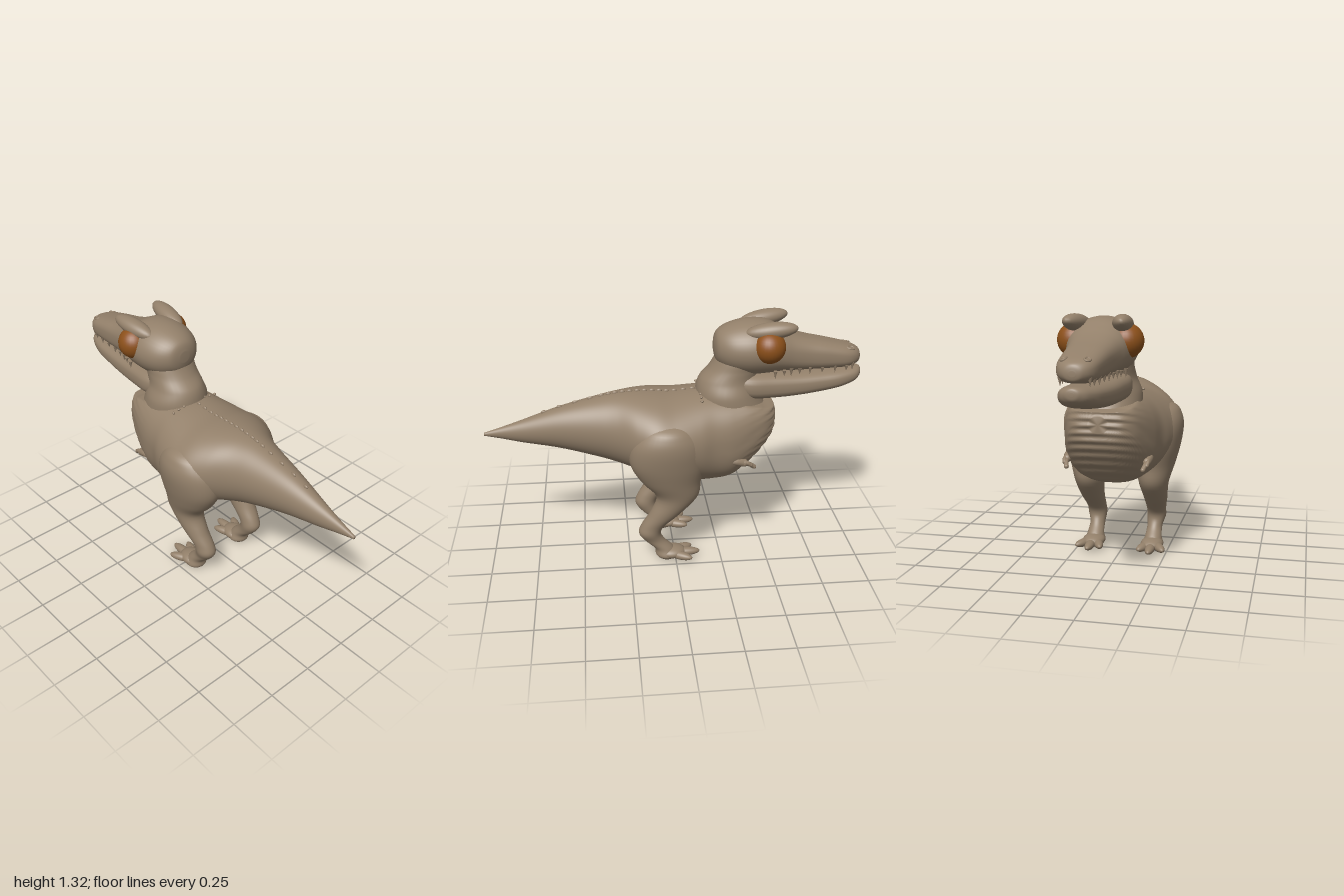
import * as THREE from 'three';

const skin = new THREE.MeshStandardMaterial({ color: 0x93806a });
skin.name = 'skin';
const amber = new THREE.MeshStandardMaterial({ color: 0x8c501a });
amber.name = 'amber';

// Cubic interpolation through cross-section rows, u in 0..1
function sample(rows, u) {
  const s = u * (rows.length - 1), i = Math.min(Math.floor(s), rows.length - 2), f = s - i;
  const row = (k) => rows[Math.max(0, Math.min(rows.length - 1, k))];
  const [a, b, c, d] = [row(i - 1), row(i), row(i + 1), row(i + 2)];
  return b.map((v, k) => v + 0.5 * f * (c[k] - a[k]
    + f * (2 * a[k] - 5 * v + 4 * c[k] - d[k] + f * (3 * (v - c[k]) + d[k] - a[k]))));
}

// Rows: [position on axis, centre x, centre of other axis, radius x, other radius, squareness]
function loft(rows, axis, rings = 48, sides = 32, bend = null) {
  const pos = [], idx = [];
  const put = (x, o, t) => {
    const v = axis === 'z' ? new THREE.Vector3(x, o, t) : new THREE.Vector3(x, t, o);
    if (bend) bend(v);
    pos.push(v.x, v.y, v.z);
  };
  for (let i = 0; i <= rings; i++) {
    const [t, cx, co, rx, ro, p] = sample(rows, i / rings);
    for (let j = 0; j < sides; j++) {
      const a = (j / sides) * Math.PI * 2, c = Math.cos(a), s = Math.sin(a);
      const pw = (v) => Math.sign(v) * Math.pow(Math.abs(v), 2 / p);
      put(cx + Math.max(rx, 0.001) * pw(c), co + Math.max(ro, 0.001) * pw(s), t);
    }
  }
  const first = rows[0], last = rows[rows.length - 1];
  put(first[1], first[2], first[0]);
  put(last[1], last[2], last[0]);
  const capA = (rings + 1) * sides, capB = capA + 1;
  const flip = (axis === 'z') !== (last[0] > first[0]);
  const tri = (a, b, c) => (flip ? idx.push(a, c, b) : idx.push(a, b, c));
  for (let j = 0; j < sides; j++) {
    const k = (j + 1) % sides;
    for (let i = 0; i < rings; i++) {
      const a = i * sides + j, b = i * sides + k;
      tri(a, b, a + sides);
      tri(b, b + sides, a + sides);
    }
    tri(capA, k, j);
    tri(capB, rings * sides + j, rings * sides + k);
  }
  const g = new THREE.BufferGeometry();
  g.setAttribute('position', new THREE.Float32BufferAttribute(pos, 3));
  g.setIndex(idx);
  g.computeVertexNormals();
  return g;
}

export function createModel() {
  const model = new THREE.Group();
  model.name = 'dinosaur';
  const add = (name, geo, mat = skin, parent = model) => {
    const m = new THREE.Mesh(geo, mat);
    m.name = name;
    parent.add(m);
    return m;
  };
  const ball = (name, p, r, parent, mat = skin) => {
    const m = add(name, new THREE.SphereGeometry(1, 28, 20), mat, parent);
    m.position.set(...p);
    m.scale.set(...r);
    return m;
  };

  // Tail, hips and torso in one run
  const body = [
    [1, 0, 0.72, 0.008, 0.008, 2], [0.9, 0, 0.725, 0.026, 0.034, 2],
    [0.8, 0, 0.73, 0.047, 0.062, 2], [0.6, 0, 0.745, 0.093, 0.115, 2],
    [0.4, 0, 0.743, 0.145, 0.168, 2], [0.3, 0, 0.737, 0.185, 0.193, 2],
    [0.2, 0, 0.725, 0.255, 0.212, 2], [0.1, 0, 0.705, 0.308, 0.23, 2],
    [0, 0, 0.688, 0.315, 0.242, 2], [-0.12, 0, 0.69, 0.283, 0.25, 2.1],
    [-0.2, 0, 0.692, 0.254, 0.25, 2.3], [-0.3, 0, 0.7, 0.235, 0.237, 2.5],
    [-0.4, 0, 0.738, 0.205, 0.195, 2.6], [-0.48, 0, 0.775, 0.168, 0.142, 2.6],
    [-0.525, 0, 0.795, 0.12, 0.092, 2.4], [-0.54, 0, 0.8, 0.05, 0.04, 2],
  ];
  // Wrinkled chest, cut off by a sloping collar plane
  add('body', loft(body, 'z', 120, 80, (v) => {
    const ramp = THREE.MathUtils.smoothstep(-v.z, 0.15, 0.42);
    if (v.z < -0.12) v.y = Math.min(v.y, 0.943 + (v.z + 0.12) * 0.2);
    v.z -= 0.0045 * ramp * Math.sin(v.y * 170 + v.z * 50);
  }));

  // Bumps along the spine and around the collar
  for (let i = 0; i < 17; i++) {
    const [z, , y, , r] = sample(body, 0.175 + (0.415 * i) / 16);
    ball('spineBump', [0, y + r, z], [0.008, 0.011, 0.015], model);
  }
  for (let i = -4; i <= 4; i++) {
    ball('collarBump', [i * 0.036, 0.94 - 0.001 * i * i, -0.14], [0.008, 0.007, 0.008], model);
  }

  add('neck', loft([
    [0.84, 0, -0.31, 0.17, 0.19, 2], [0.93, 0, -0.29, 0.165, 0.17, 2],
    [1.0, 0, -0.295, 0.14, 0.158, 2], [1.06, 0, -0.325, 0.132, 0.137, 2],
    [1.12, 0, -0.35, 0.13, 0.128, 2], [1.2, 0, -0.36, 0.1, 0.11, 2],
  ], 'y'));

  // Skull with long upper jaw
  const skull = [
    [-0.212, 0, 1.175, 0.03, 0.03, 2], [-0.23, 0, 1.172, 0.09, 0.082, 2],
    [-0.29, 0, 1.168, 0.143, 0.122, 2], [-0.38, 0, 1.168, 0.17, 0.143, 2],
    [-0.48, 0, 1.168, 0.168, 0.138, 2.1], [-0.56, 0, 1.155, 0.147, 0.115, 2.3],
    [-0.62, 0, 1.142, 0.13, 0.1, 2.5], [-0.7, 0, 1.13, 0.116, 0.086, 2.7],
    [-0.8, 0, 1.12, 0.106, 0.074, 2.8], [-0.9, 0, 1.11, 0.094, 0.061, 2.7],
    [-0.95, 0, 1.107, 0.075, 0.05, 2.4], [-0.98, 0, 1.103, 0.045, 0.036, 2],
    [-0.988, 0, 1.1, 0.015, 0.012, 2],
  ];
  add('skull', loft(skull, 'z', 64, 40));
  add('lowerJaw', loft([
    [-0.305, 0, 0.998, 0.06, 0.035, 2.2], [-0.33, 0, 0.985, 0.115, 0.065, 2.5],
    [-0.4, 0, 0.973, 0.138, 0.075, 2.7], [-0.52, 0, 0.968, 0.128, 0.071, 2.8],
    [-0.65, 0, 0.968, 0.116, 0.064, 2.8], [-0.77, 0, 0.976, 0.106, 0.058, 2.7],
    [-0.88, 0, 0.988, 0.094, 0.051, 2.6], [-0.96, 0, 1.002, 0.068, 0.042, 2.3],
    [-0.993, 0, 1.012, 0.036, 0.028, 2], [-1, 0, 1.014, 0.01, 0.008, 2],
  ], 'z', 48, 36));

  for (const s of [1, -1]) {
    const side = s > 0 ? 'left' : 'right';
    ball(side + 'Eye', [s * 0.127, 1.2, -0.48], [0.084, 0.084, 0.084], model, amber);

    // Forward-swept crest above each eye
    const crest = ball(side + 'Crest', [s * 0.112, 1.282, -0.49], [0.05, 0.043, 0.135], model);
    crest.rotation.set(0.13, -s * 0.13, 0);

    const nostril = add(side + 'Nostril', new THREE.TorusGeometry(0.013, 0.005, 8, 16));
    nostril.position.set(s * 0.053, 1.157, -0.925);
    nostril.rotation.set(-Math.PI / 2 - 0.2, s * 0.3, 0);
    nostril.scale.y = 1.4;

    // Teeth along the lip
    for (let i = 0; i < 9; i++) {
      const [z, , y, rx, ry] = sample(skull, 0.37 + i * 0.055);
      const tooth = add('tooth', new THREE.ConeGeometry(0.011, i % 2 ? 0.032 : 0.042, 8));
      tooth.position.set(s * rx * 0.82, y - ry * 0.88, z);
      tooth.rotation.x = Math.PI;
    }

    // Small arm with two fingers
    const arm = new THREE.Group();
    arm.name = side + 'Arm';
    model.add(arm);
    const limb = (name, pts, r) => {
      const path = new THREE.CatmullRomCurve3(pts.map(([x, y, z]) => new THREE.Vector3(s * x, y, z)));
      add(name, new THREE.TubeGeometry(path, 12, r, 10), skin, arm);
      const end = pts[pts.length - 1];
      ball(name + 'Tip', [s * end[0], end[1], end[2]], [r, r, r], arm);
    };
    limb('forearm', [[0.18, 0.595, -0.25], [0.208, 0.603, -0.31], [0.205, 0.59, -0.36]], 0.021);
    limb('finger', [[0.205, 0.593, -0.35], [0.202, 0.578, -0.39], [0.195, 0.56, -0.415]], 0.012);
    limb('finger', [[0.205, 0.6, -0.35], [0.213, 0.592, -0.375], [0.21, 0.578, -0.395]], 0.011);

    // Thigh, blended into the hip, then shin and ankle
    const leg = new THREE.Group();
    leg.name = side + 'Leg';
    model.add(leg);
    add('leg', loft([
      [0.86, 0.13, 0.03, 0.03, 0.05, 2], [0.82, 0.165, 0.04, 0.115, 0.12, 2],
      [0.77, 0.18, 0.04, 0.138, 0.17, 2], [0.7, 0.185, 0.042, 0.143, 0.2, 2],
      [0.6, 0.185, 0.04, 0.128, 0.2, 2], [0.5, 0.182, 0.025, 0.105, 0.16, 2],
      [0.4, 0.178, -0.008, 0.08, 0.112, 2], [0.3, 0.178, 0.053, 0.064, 0.085, 2],
      [0.22, 0.172, 0.12, 0.053, 0.066, 2], [0.17, 0.17, 0.14, 0.052, 0.06, 2],
      [0.12, 0.165, 0.113, 0.042, 0.054, 2], [0.07, 0.165, 0.062, 0.046, 0.052, 2],
      [0.03, 0.165, 0.05, 0.058, 0.058, 2], [0.005, 0.165, 0.045, 0.035, 0.04, 2],
    ].map(([t, x, ...rest]) => [t, s * x, ...rest]), 'y', 64, 40), skin, leg);

    // Foot pad and three toes
    ball('footPad', [s * 0.165, 0.04, 0.02], [0.062, 0.034, 0.078], leg);
    for (const [x, z, turn, len] of [[0.168, -0.055, 0, 0.08], [0.207, -0.02, -0.5, 0.075], [0.13, -0.025, 0.35, 0.075]]) {
      ball('toe', [s * x, 0.034, z], [0.026, 0.023, len], leg).rotation.y = s * turn;
    }
  }
  return model;
}
